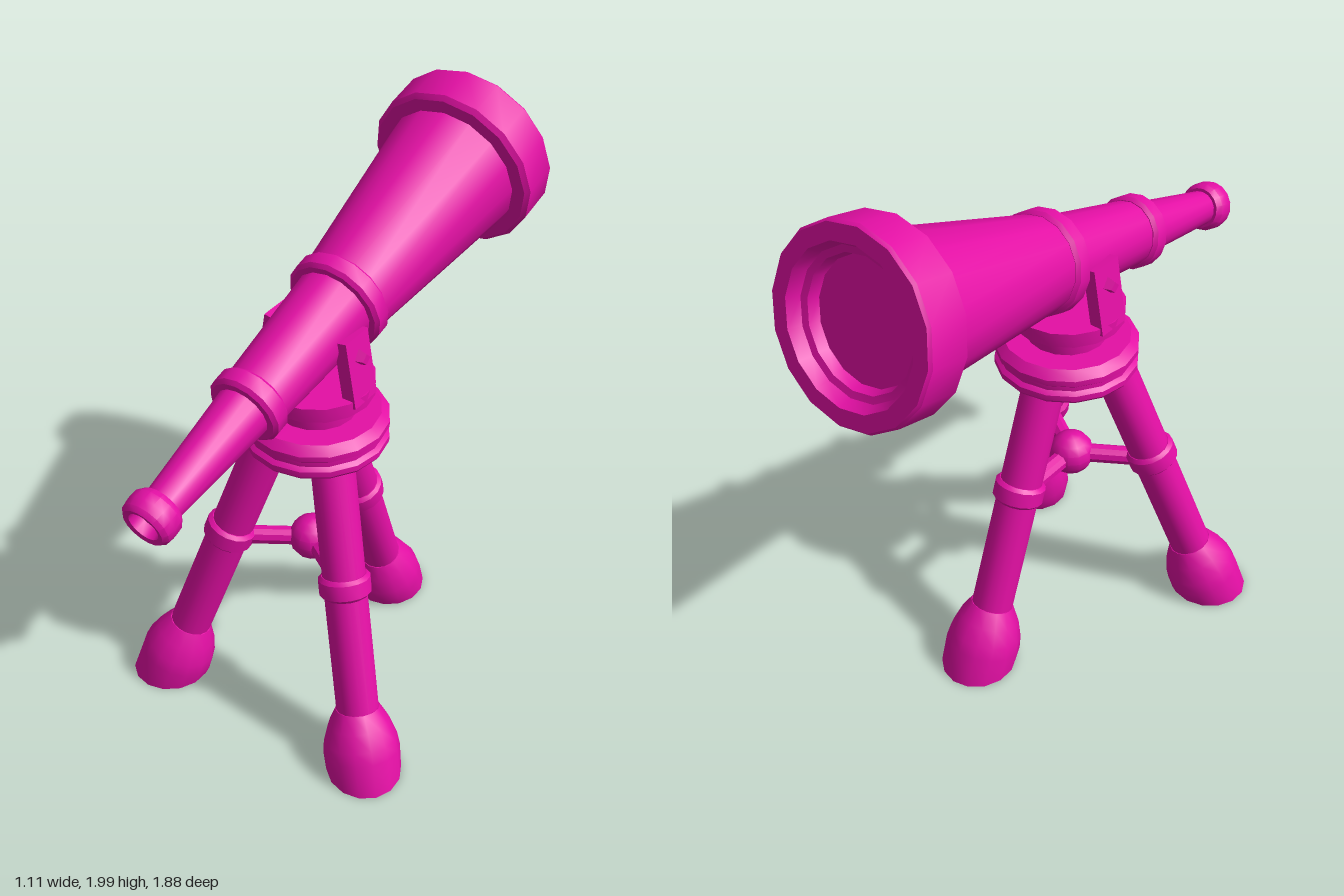
import * as THREE from 'three';
import { toCreasedNormals } from 'three/addons/utils/BufferGeometryUtils.js';

const UP = new THREE.Vector3(0, 1, 0);
const CREASE = 0.6;

// Closed turned shape from [radius, height] pairs, listed bottom to top
function turned(points, sides = 16) {
  return new THREE.LatheGeometry(points.map(([r, y]) => new THREE.Vector2(r, y)), sides);
}

// Collar with slightly rounded edges, centred on height y
function collarProfile(y, r, half) {
  const b = 0.012;
  return [[0, y - half], [r - b, y - half], [r, y - half + b], [r, y + half - b], [r - b, y + half], [0, y + half]];
}

export function createModel() {
  const model = new THREE.Group();
  const magenta = new THREE.MeshStandardMaterial({ color: 0xe40fa5 });
  magenta.name = 'magenta';

  function add(parent, name, geometry) {
    const mesh = new THREE.Mesh(toCreasedNormals(geometry, CREASE), magenta);
    mesh.name = name;
    parent.add(mesh);
    return mesh;
  }

  // Place a geometry built along +y at a point, turned to a direction
  function along(geometry, origin, direction) {
    geometry.applyQuaternion(new THREE.Quaternion().setFromUnitVectors(UP, direction));
    return geometry.translate(origin.x, origin.y, origin.z);
  }

  // Telescope: local +y runs from the eyepiece to the big lens
  const scope = new THREE.Group();
  scope.name = 'telescope';
  scope.position.set(0, 1.47, 0.085);
  scope.rotation.x = -1.326;
  model.add(scope);
  add(scope, 'eyepiece', turned([
    [0, -0.835], [0.047, -0.835], [0.053, -0.872], [0.07, -0.876], [0.083, -0.862],
    [0.087, -0.835], [0.085, -0.805], [0.072, -0.785], [0, -0.785]]));
  add(scope, 'eyepieceTube', turned([[0, -0.8], [0.06, -0.8], [0.094, -0.36], [0, -0.36]]));
  add(scope, 'frontCollar', turned(collarProfile(-0.358, 0.125, 0.036)));
  add(scope, 'middleTube', turned([[0, -0.36], [0.108, -0.36], [0.14, 0.13], [0, 0.13]]));
  add(scope, 'rearCollar', turned(collarProfile(0.131, 0.17, 0.036)));
  add(scope, 'mainTube', turned([[0, 0.13], [0.152, 0.13], [0.242, 0.83], [0, 0.83]]));
  add(scope, 'lensHood', turned([
    [0, 0.815], [0.285, 0.815], [0.3, 0.83], [0.3, 0.965], [0.292, 0.975], [0.24, 0.975],
    [0.222, 0.935], [0.2, 0.93], [0.19, 0.895], [0, 0.895]]));

  // Turntable under the telescope
  const mount = new THREE.Group();
  mount.name = 'mount';
  mount.position.z = 0.085;
  model.add(mount);
  add(mount, 'baseDisc', turned([
    [0, 1.05], [0.235, 1.05], [0.242, 1.06], [0.242, 1.08], [0.228, 1.092], [0.228, 1.108],
    [0.242, 1.12], [0.242, 1.14], [0.215, 1.168], [0, 1.168]]));
  add(mount, 'neck', turned([[0, 1.16], [0.136, 1.16], [0.136, 1.22], [0, 1.22]]));
  add(mount, 'topDisc', turned([
    [0, 1.21], [0.15, 1.21], [0.193, 1.24], [0.193, 1.29], [0, 1.29]]));

  // Leaning brackets with square bolts
  for (const side of [1, -1]) {
    const bracket = add(mount, 'bracket', new THREE.BoxGeometry(0.045, 0.23, 0.12));
    bracket.position.set(side * 0.15, 1.375, 0);
    bracket.rotation.z = side * 0.17;
    const bolt = add(mount, 'bolt', new THREE.CylinderGeometry(0.02, 0.035, 0.05, 4));
    bolt.position.set(side * 0.165, 1.42, 0);
    bolt.rotation.z = -side * Math.PI / 2;
  }

  // Tripod legs, each with a foot, a collar and a strut to the hub
  const hub = new THREE.Vector3(0, 0.625, 0.115);
  const legs = [
    ['leftLeg', [0.115, 1.07, 0.165], [0.425, 0, 0.42]],
    ['rightLeg', [-0.115, 1.07, 0.165], [-0.425, 0, 0.42]],
    ['backLeg', [0, 1.07, -0.015], [0, 0, -0.41]],
  ];
  for (const [name, top, bottom] of legs) {
    const leg = new THREE.Group();
    leg.name = name;
    model.add(leg);
    const a = new THREE.Vector3(...bottom);
    const b = new THREE.Vector3(...top);
    const dir = b.clone().sub(a);
    const length = dir.length();
    dir.normalize();

    add(leg, 'legPole', along(turned([[0, 0.15], [0.073, 0.15], [0.073, length], [0, length]]), a, dir));

    // Foot: vertices under the ground slide along the leg up to y = 0
    const foot = along(turned([
      [0, -0.08], [0.129, -0.08], [0.132, 0.075], [0.126, 0.12], [0.106, 0.18], [0.076, 0.235], [0, 0.235]], 14), a, dir);
    const p = foot.attributes.position;
    for (let i = 0; i < p.count; i++) {
      const y = p.getY(i);
      if (y < 0) p.setXYZ(i, p.getX(i) - dir.x * y / dir.y, 0, p.getZ(i) - dir.z * y / dir.y);
    }
    add(leg, 'foot', foot);

    const joint = a.clone().lerp(b, 0.645 / b.y);
    add(leg, 'legCollar', along(turned(collarProfile(0, 0.088, 0.038)), joint, dir));

    const end = joint.clone().setY(hub.y);
    const strutDir = end.clone().sub(hub);
    const reach = strutDir.length();
    add(leg, 'strut', along(turned([[0, 0], [0.033, 0], [0.033, reach], [0, reach]], 10), hub, strutDir.normalize()));
  }
  add(model, 'hub', new THREE.SphereGeometry(0.08, 12, 8)).position.copy(hub);

  return model;
}
